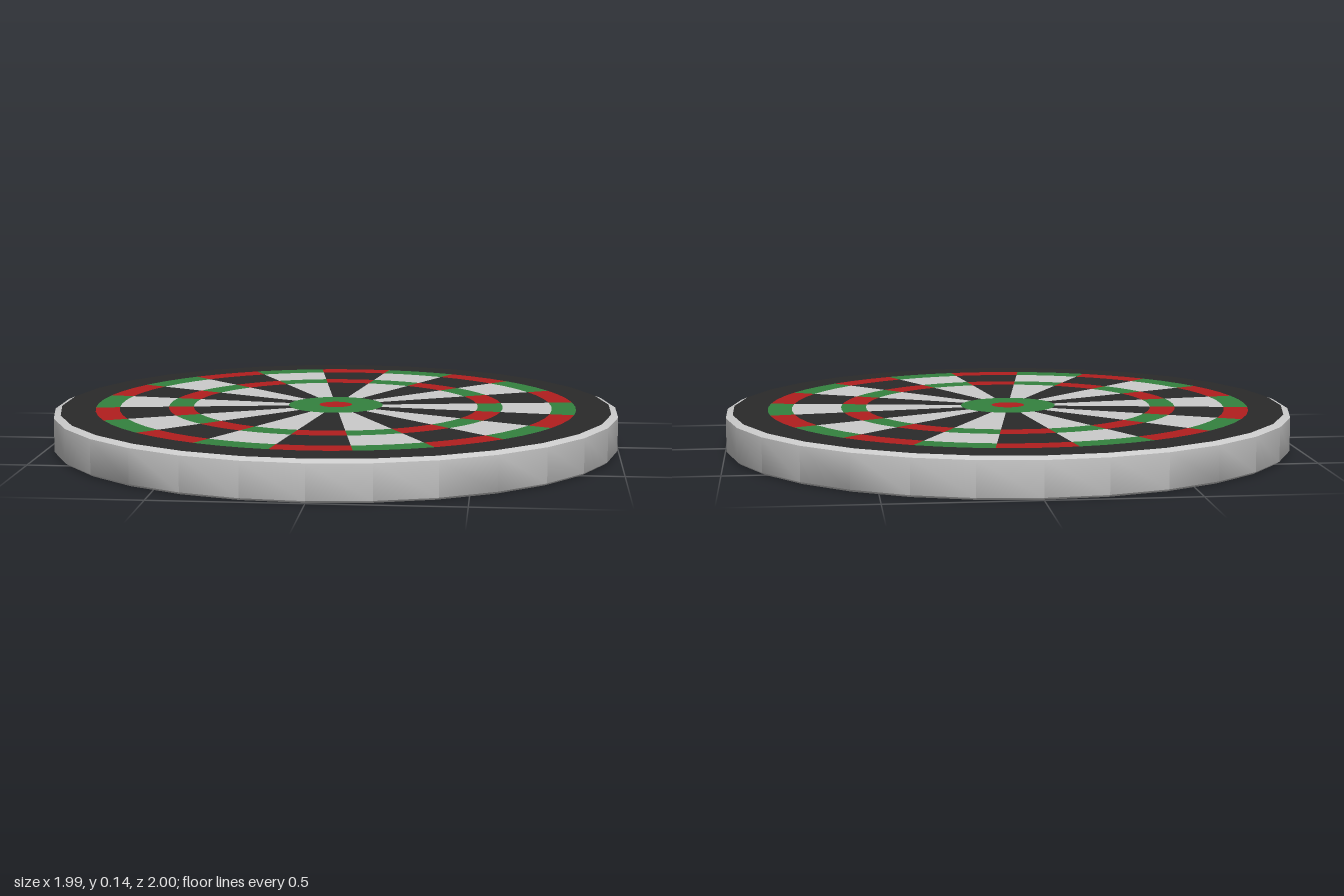
import * as THREE from 'three';
import { mergeGeometries, toCreasedNormals } from 'three/addons/utils/BufferGeometryUtils.js';

const TOP = 0.137;
const SECTORS = 20;
const STEP = (Math.PI * 2) / SECTORS;

const material = (color) => new THREE.MeshStandardMaterial({ color });
const black = material(0x2a2a2a);
const red = material(0xb11e1e);
const green = material(0x34823f);
const grey = material(0xcccccc);

// Lay a flat shape on the board, facing up
const lay = (geometry, y) => geometry.rotateX(-Math.PI / 2).translate(0, y, 0);

// Every second wedge between two radii, as one geometry; the first is centred on the back (-z)
function wedges(inner, outer, first) {
  const parts = [];
  for (let i = first; i < SECTORS; i += 2) {
    const start = Math.PI / 2 + (i - 0.5) * STEP;
    parts.push(lay(new THREE.RingGeometry(inner, outer, 1, 1, start, STEP), TOP));
  }
  return mergeGeometries(parts);
}

export function createModel() {
  const group = new THREE.Group();
  const add = (name, geometry, mat) => {
    const mesh = new THREE.Mesh(geometry, mat);
    mesh.name = name;
    group.add(mesh);
  };

  // Round body with softened edges
  const profile = [[0, 0], [0.99, 0], [1, 0.008], [1, 0.126], [0.976, TOP - 0.001]]
    .map(([r, y]) => new THREE.Vector2(r, y));
  add('body', toCreasedNormals(new THREE.LatheGeometry(profile, 30), 0.9), grey);

  // Black playing face under the coloured fields
  add('face', lay(new THREE.CircleGeometry(0.976, 30, Math.PI / 2), TOP - 0.001), black);

  // Scoring bands: [name, inner radius, outer radius, even material, odd material]
  const bands = [
    ['innerField', 0.14, 0.506, black, grey],
    ['innerRing', 0.506, 0.594, red, green],
    ['outerField', 0.594, 0.767, black, grey],
    ['outerRing', 0.767, 0.852, red, green],
  ];
  for (const [name, inner, outer, even, odd] of bands) {
    add(name + 'Even', wedges(inner, outer, 0), even);
    add(name + 'Odd', wedges(inner, outer, 1), odd);
  }

  // Centre
  add('outerBull', lay(new THREE.CircleGeometry(0.168, 32), TOP + 0.001), green);
  add('innerBull', lay(new THREE.CircleGeometry(0.058, 32), TOP + 0.002), red);

  return group;
}
